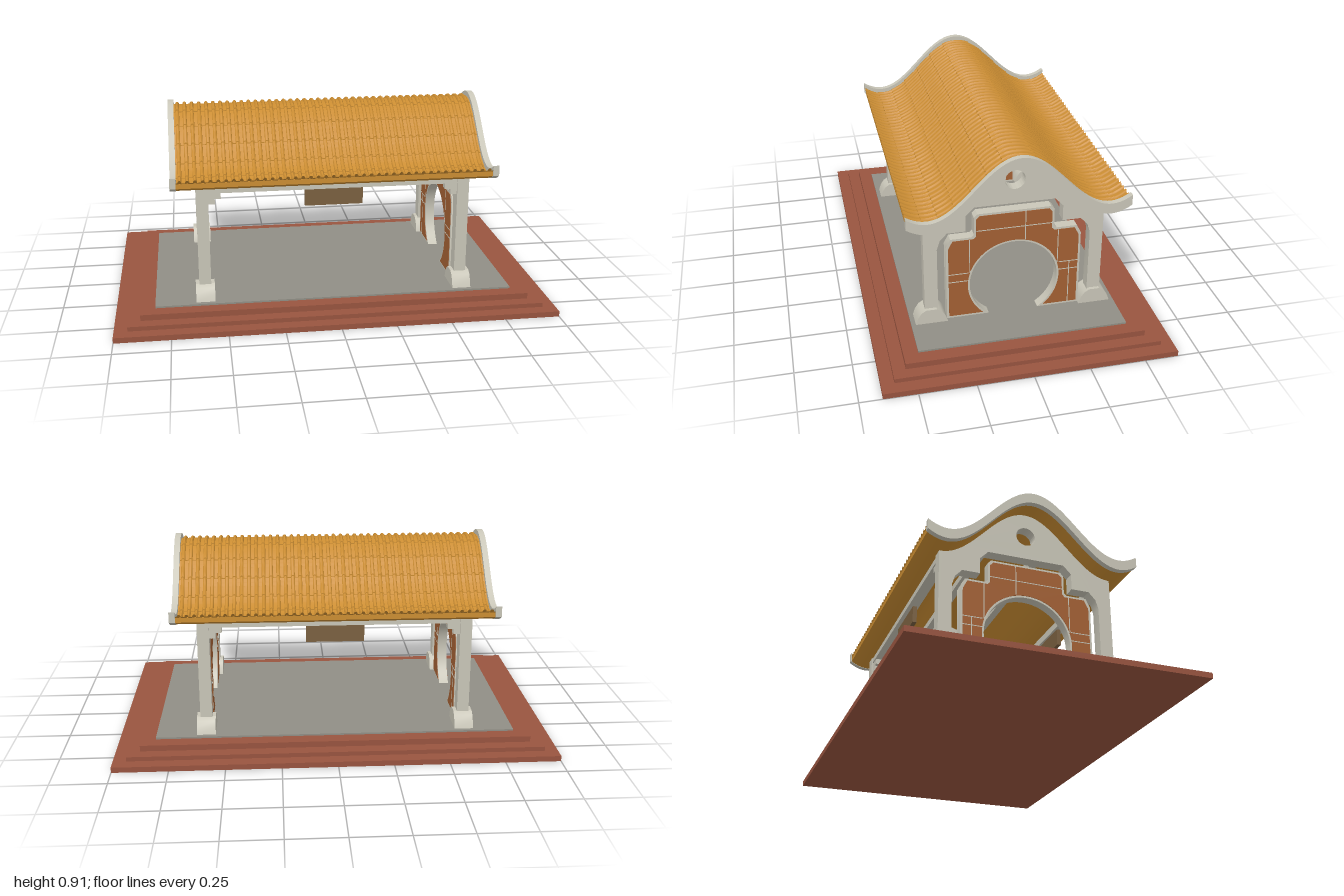
import * as THREE from 'three';
import { toCreasedNormals } from 'three/addons/utils/BufferGeometryUtils.js';

const mat = (name, color) => {
  const m = new THREE.MeshStandardMaterial({ color });
  m.name = name;
  return m;
};

// Wave profile shared by the roof, its trims and the gable walls
const roofY = (z) => 0.782 + 0.132 * Math.cos((Math.PI * z) / 0.4);
const roofLine = (half, drop, n = 56) =>
  Array.from({ length: n + 1 }, (_, i) => {
    const z = half - (2 * half * i) / n;
    return new THREE.Vector2(z, roofY(z) - drop);
  });
const roofBand = (half, top, bottom) =>
  new THREE.Shape([...roofLine(half, top), ...roofLine(half, bottom).reverse()]);

// Symmetric side profile extruded along x, centred on x
function extrudeX(shape, width, x = 0) {
  const g = new THREE.ExtrudeGeometry(shape, { depth: width, bevelEnabled: false, curveSegments: 40 });
  g.rotateY(Math.PI / 2);
  g.translate(x - width / 2, 0, 0);
  return toCreasedNormals(g, 0.5);
}

const mirrored = (half) => [...half, ...half.slice().reverse().map(([z, y]) => [-z, y])];

// Stepped screen outline with a round doorway open at the bottom
function screenShape(inset, radius, y0) {
  const cy = 0.245;
  const phi = Math.asin((y0 - cy) / radius);
  const a = radius * Math.cos(phi);
  const outline = mirrored([
    [0.305, y0 + inset], [0.305, 0.452], [0.285, 0.491], [0.192, 0.491],
    [0.18, 0.503], [0.18, 0.587], [0.165, 0.603],
  ].map(([z, y]) => [z - inset, y - inset]));
  const s = new THREE.Shape();
  s.moveTo(a, y0);
  outline.forEach(([z, y]) => s.lineTo(z, y));
  s.lineTo(-a, y0);
  s.absarc(0, cy, radius, Math.PI - phi, phi, true);
  return s;
}

// Gable wall and its two posts in one piece
function gableShape() {
  const opening = mirrored([
    [0.345, 0.08], [0.345, 0.45], [0.332, 0.492], [0.3, 0.527],
    [0.217, 0.527], [0.217, 0.602], [0.18, 0.641],
  ]);
  const pts = [new THREE.Vector2(0.405, 0.08), ...roofLine(0.405, 0.04), new THREE.Vector2(-0.405, 0.08),
    ...opening.reverse().map(([z, y]) => new THREE.Vector2(z, y))];
  const s = new THREE.Shape(pts);
  s.holes.push(new THREE.Path().absarc(0, 0.755, 0.045, 0, Math.PI * 2, true));
  return s;
}

// Tile sheet: round ribs down the slope, stepped in overlapping rows
function tileGeometry() {
  const halfX = 0.705, halfZ = 0.487, ribs = 42, rows = 7, sub = 4;
  const pitch = (2 * halfX) / ribs;
  const xs = [];
  for (let i = 0; i < ribs; i++) {
    const x0 = -halfX + i * pitch;
    xs.push([x0, 0]);
    for (let k = 0; k <= 5; k++) {
      const a = (Math.PI * k) / 5;
      xs.push([x0 + pitch * (0.5 - 0.27 * Math.cos(a)), 0.011 * Math.sin(a)]);
    }
  }
  xs.push([halfX, 0]);
  const slope = [];
  for (let r = 0; r < rows; r++) {
    for (let j = 0; j <= sub; j++) {
      slope.push([(halfZ * (r + j / sub)) / rows, (0.005 * j) / sub]);
    }
  }
  const zs = [...slope.slice().reverse().map(([z, h]) => [-z, h]), ...slope.slice(1)];
  const pos = [], index = [], n = zs.length;
  for (const [x, rib] of xs) for (const [z, step] of zs) pos.push(x, roofY(z) - 0.026 + rib + step, z);
  for (let i = 0; i < xs.length - 1; i++) {
    for (let j = 0; j < n - 1; j++) {
      const a = i * n + j, d = a + n;
      index.push(a, a + 1, d + 1, a, d + 1, d);
    }
  }
  const g = new THREE.BufferGeometry();
  g.setAttribute('position', new THREE.Float32BufferAttribute(pos, 3));
  g.setIndex(index);
  return toCreasedNormals(g, 0.7);
}

export function createModel() {
  const model = new THREE.Group();
  model.name = 'pavilion';
  const red = mat('red stone', 0x98543f);
  const stone = mat('pale stone', 0xc9c6b8);
  const paving = mat('grey paving', 0x908e85);
  const gold = mat('golden tile', 0xcb8d32);
  const tileTop = mat('golden tile sheet', 0xcb8d32);
  tileTop.side = THREE.DoubleSide;
  const brick = mat('orange brick', 0xa36033);
  const wood = mat('brown wood', 0x7a6040);

  const add = (name, geometry, material) => {
    const m = new THREE.Mesh(geometry, material);
    m.name = name;
    model.add(m);
    return m;
  };
  const box = (name, material, x0, x1, y0, y1, z0, z1) =>
    add(name, new THREE.BoxGeometry(Math.abs(x1 - x0), y1 - y0, Math.abs(z1 - z0))
      .translate((x0 + x1) / 2, (y0 + y1) / 2, (z0 + z1) / 2), material);

  // Stepped platform and paved floor
  [[1, 0.65, 0, 0.025], [0.94, 0.592, 0.025, 0.045], [0.885, 0.535, 0.045, 0.072]].forEach(
    ([x, z, y0, y1], i) => box(`platformStep${i + 1}`, red, -x, x, y0, y1, -z, z));
  box('floor', paving, -0.82, 0.82, 0.072, 0.08, -0.47, 0.47);

  // Roof deck, tiles and end trims
  add('roofDeck', extrudeX(roofBand(0.485, 0.024, 0.046), 1.41), gold);
  add('roofTiles', tileGeometry(), tileTop);

  const footShape = new THREE.Shape([
    [0.073, 0.08], [0.062, 0.112], [0.046, 0.136], [0.024, 0.15],
    [-0.024, 0.15], [-0.046, 0.136], [-0.062, 0.112], [-0.073, 0.08],
  ].map(([z, y]) => new THREE.Vector2(z, y)));

  for (const s of [1, -1]) {
    const x = 0.593 * s;
    add('roofEndTrim', extrudeX(roofBand(0.49, 0, 0.048), 0.027, 0.718 * s), stone);
    add('gableWall', extrudeX(gableShape(), 0.054, x), stone);

    // Brick screen with pale edging
    add('screenFrame', extrudeX(screenShape(0, 0.2, 0.08), 0.046, x), stone);
    add('screenBrick', extrudeX(screenShape(0.01, 0.209, 0.09), 0.05, x), brick);

    // Grout lines: z0, z1, y0, y1
    const t = 0.002;
    [
      [-0.17, 0.17, 0.52 - t, 0.52 + t],
      [0.2 - t, 0.2 + t, 0.31, 0.48], [-0.2 - t, -0.2 + t, 0.31, 0.48],
      [-0.05 - t, -0.05 + t, 0.452, 0.593], [-0.255 - t, -0.255 + t, 0.09, 0.31],
      ...[0.27, 0.31].flatMap((y) => [[0.206, 0.295, y - t, y + t], [-0.295, -0.206, y - t, y + t]]),
    ].forEach(([z0, z1, y0, y1]) => box('groutLine', stone, x - 0.026, x + 0.026, y0, y1, z0, z1));

    // Post feet and stepped brackets under the beams
    for (const f of [1, -1]) {
      add('postFoot', extrudeX(footShape, 0.086, x).translate(0, 0, 0.377 * f), stone);
      const z0 = 0.355 * f, z1 = 0.395 * f;
      box('bracketUpper', stone, 0.51 * s, 0.568 * s, 0.55, 0.58, z0, z1);
      box('bracketLower', stone, 0.537 * s, 0.568 * s, 0.525, 0.55, z0, z1);
    }
  }

  // Eave beams, purlins and hanging boards
  for (const f of [1, -1]) {
    box('eaveBeam', stone, -0.57, 0.57, 0.578, 0.612, 0.35 * f, 0.4 * f);
    box('purlin', stone, -0.57, 0.57, 0.755, 0.797, 0.115 * f, 0.15 * f);
    box('hangingBoard', wood, -0.132, 0.132, 0.495, 0.58, 0.36 * f, 0.38 * f);
  }
  return model;
}
